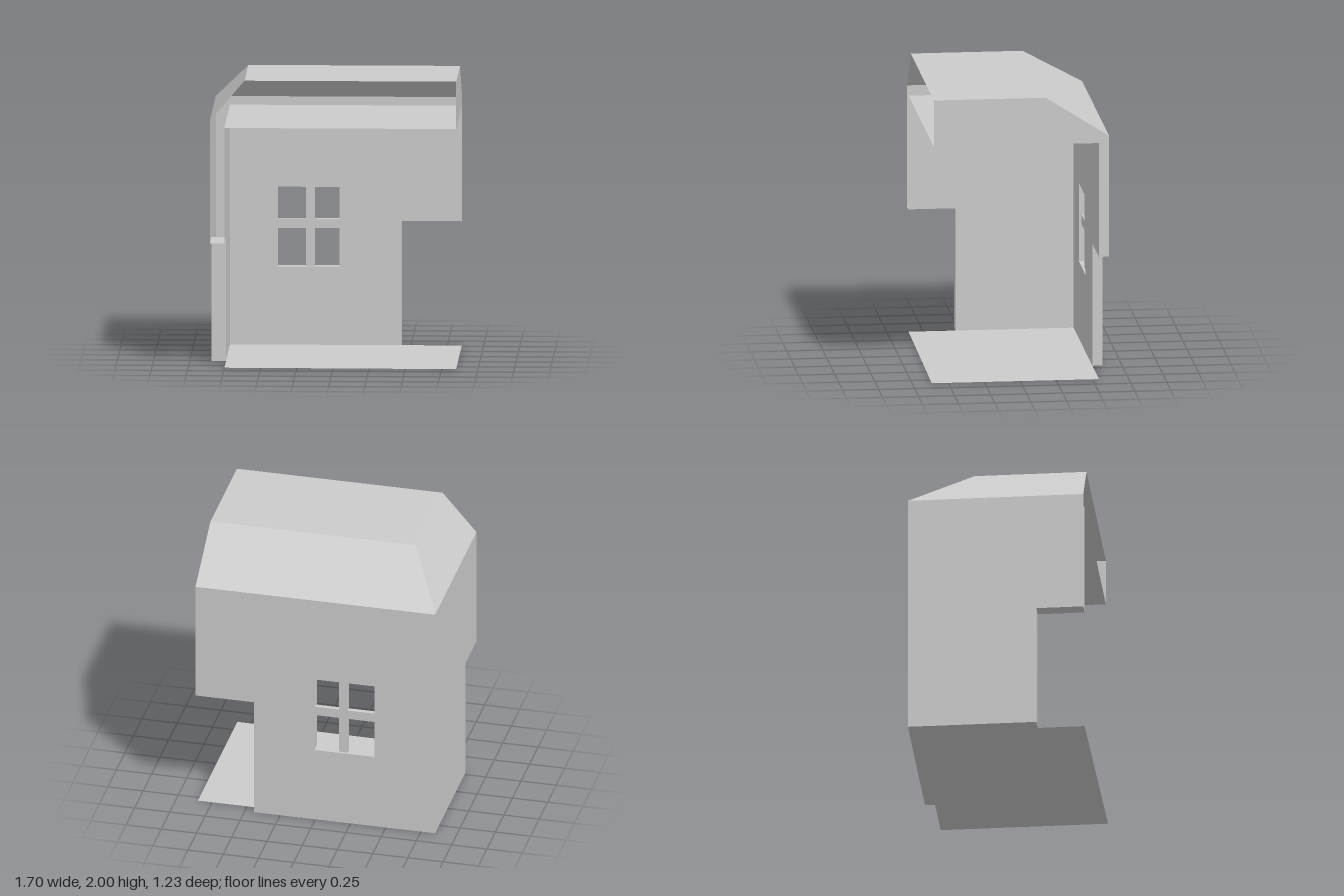
import * as THREE from 'three';

const material = new THREE.MeshStandardMaterial({ color: 0xcccccc, flatShading: true, side: THREE.DoubleSide });

// Main dimensions
const L = -0.85, R = 0.85, BACK = -0.615, FRONT = 0.6;     // outer shell
const IN_X = -0.75, IN_Z = -0.545;                         // inner wall faces
const EAVE = 1.72, CEIL = 1.67, TOP = 2, LEDGE = 0.865;    // heights
const CUT_X = 0.435, CUT_Z = 0.275;                        // where the lower walls stop
const WIN = { x0: -0.42, x1: 0.005, y0: 0.545, y1: 1.1 };

// Mappings from a 2D outline to a plane in space
const onX = (x) => (a, b) => [x, b, a];
const onY = (y) => (a, b) => [a, y, b];
const onZ = (z) => (a, b) => [a, b, z];

const rect = (a0, b0, a1, b1) => [[a0, b0], [a1, b0], [a1, b1], [a0, b1]];
const toVectors = (points) => points.map(([a, b]) => new THREE.Vector2(a, b));

export function createModel() {
  const model = new THREE.Group();
  model.name = 'roomCorner';

  // A flat sheet with an optional hole, laid into space by a mapping
  function panel(name, outline, place, hole) {
    const shape = new THREE.Shape(toVectors(outline));
    if (hole) shape.holes.push(new THREE.Path(toVectors(hole)));
    const geometry = new THREE.ShapeGeometry(shape);
    const p = geometry.attributes.position;
    for (let i = 0; i < p.count; i++) p.setXYZ(i, ...place(p.getX(i), p.getY(i)));
    geometry.computeVertexNormals();
    const mesh = new THREE.Mesh(geometry, material);
    mesh.name = name;
    model.add(mesh);
  }

  function box(name, x0, x1, y0, y1, z0, z1) {
    const mesh = new THREE.Mesh(new THREE.BoxGeometry(x1 - x0, y1 - y0, z1 - z0), material);
    mesh.position.set((x0 + x1) / 2, (y0 + y1) / 2, (z0 + z1) / 2);
    mesh.name = name;
    model.add(mesh);
  }

  // Wall outline that widens above the ledge
  const stepped = (start, cut, end, top) =>
    [[start, 0], [cut, 0], [cut, LEDGE], [end, LEDGE], [end, top], [start, top]];

  // Back wall, outer and inner skins with the window opening
  const opening = rect(WIN.x0, WIN.y0, WIN.x1, WIN.y1);
  panel('backWallOuter', stepped(L, CUT_X, R, EAVE), onZ(BACK), opening);
  panel('backWallInner', stepped(IN_X, CUT_X, R, CEIL), onZ(IN_Z), opening);
  panel('backWallLowerEnd', rect(BACK, 0, IN_Z, LEDGE), onX(CUT_X));
  panel('backWallLedge', rect(CUT_X, BACK, R, IN_Z), onY(LEDGE));

  // Side wall, outer and inner skins
  panel('sideWallOuter', stepped(BACK, CUT_Z, FRONT, EAVE), onX(L));
  panel('sideWallInner', stepped(IN_Z, CUT_Z, FRONT, CEIL), onX(IN_X));
  panel('sideWallLowerEnd', rect(L, 0, IN_X, LEDGE), onZ(CUT_Z));
  panel('sideWallLedge', rect(L, CUT_Z, IN_X, FRONT), onY(LEDGE));

  // Underside joining both walls
  panel('wallBase', [[L, BACK], [CUT_X, BACK], [CUT_X, IN_Z], [IN_X, IN_Z], [IN_X, CUT_Z], [L, CUT_Z]], onY(0));

  // Window reveal and cross bars
  for (const x of [WIN.x0, WIN.x1]) panel('windowJamb', rect(BACK, WIN.y0, IN_Z, WIN.y1), onX(x));
  for (const y of [WIN.y0, WIN.y1]) panel('windowSill', rect(WIN.x0, BACK, WIN.x1, IN_Z), onY(y));
  box('windowBarVertical', -0.225, -0.165, WIN.y0, WIN.y1, -0.597, -0.563);
  box('windowBarHorizontal', WIN.x0, WIN.x1, 0.81, 0.875, -0.597, -0.563);

  // Floor and ceiling sheets
  panel('floor', [[IN_X, IN_Z], [R, IN_Z], [R, 0.615], [IN_X, FRONT]], onY(0));
  panel('ceiling', rect(IN_X, IN_Z, R, FRONT), onY(CEIL));

  // Roof: flat top with hipped slopes at the back and side, open at the front
  const ridgeX = -0.61, ridgeZ = -0.175;
  const lerp = THREE.MathUtils.mapLinear;
  panel('roofTop', rect(ridgeX, ridgeZ, R, FRONT), onY(TOP));
  panel('roofBackSlope', [[L, EAVE], [R, EAVE], [R, TOP], [ridgeX, TOP]],
    (x, y) => [x, y, lerp(y, EAVE, TOP, BACK, ridgeZ)]);
  panel('roofSideSlope', [[BACK, EAVE], [FRONT, EAVE], [FRONT, TOP], [ridgeZ, TOP]],
    (z, y) => [lerp(y, EAVE, TOP, L, ridgeX), y, z]);

  // End face closing the roof space and the back wall
  panel('roofEnd', [[BACK, LEDGE], [IN_Z, LEDGE], [IN_Z, CEIL], [FRONT, CEIL], [FRONT, TOP], [ridgeZ, TOP], [BACK, EAVE]], onX(R));

  return model;
}
